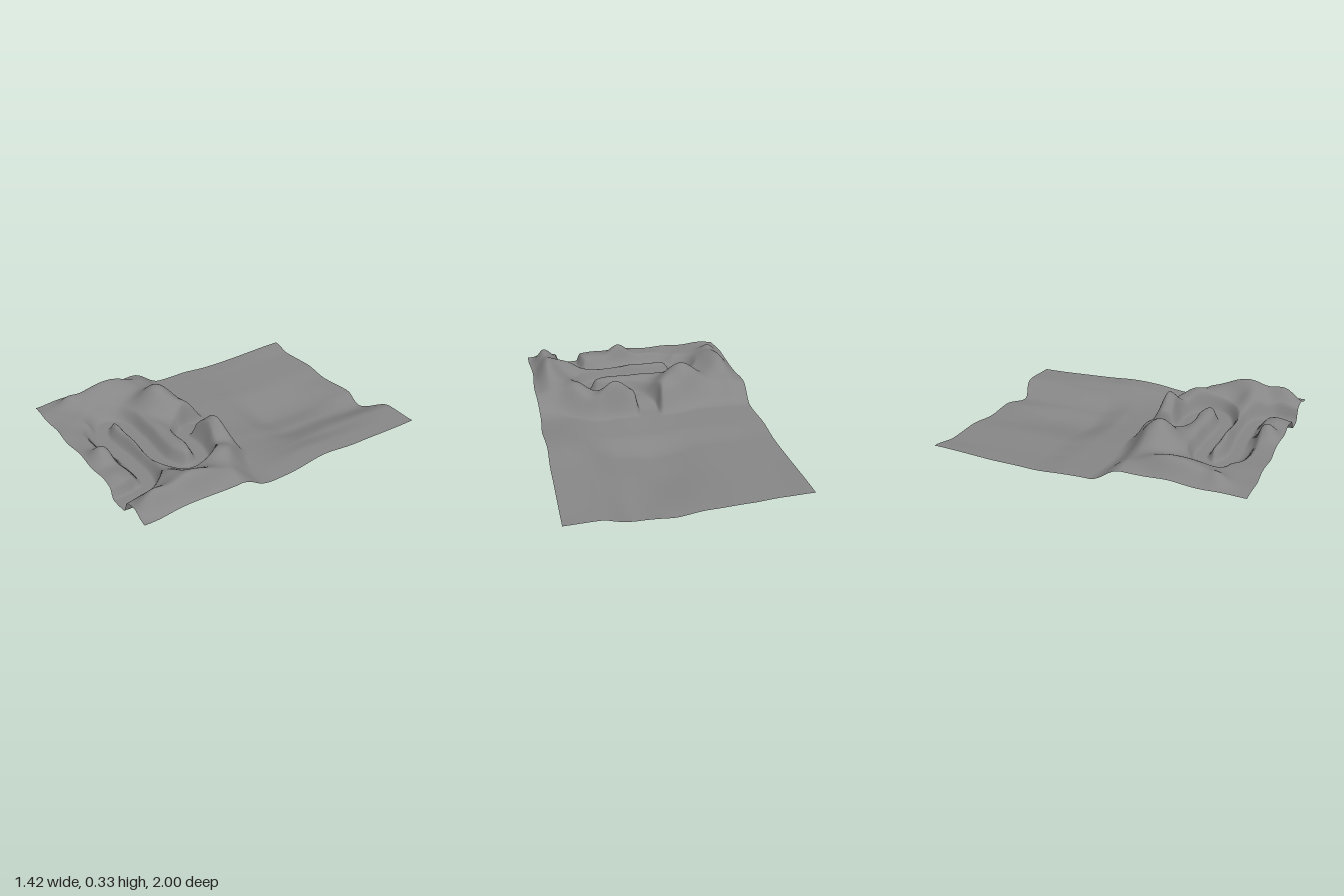
import * as THREE from 'three';

const { smoothstep, lerp } = THREE.MathUtils;

// Smooth interpolation through [position, value] pairs
function profile(points, x) {
  if (x <= points[0][0]) return points[0][1];
  for (let i = 1; i < points.length; i++) {
    const [a, va] = points[i - 1], [b, vb] = points[i];
    if (x <= b) return lerp(va, vb, smoothstep(x, a, b));
  }
  return points[points.length - 1][1];
}

// Valley floor heights across x, halfway and at the rear, and the wavy rear rim
const midValley = [[-0.7, 0.068], [-0.45, 0.058], [-0.3, 0.054], [0.07, 0], [0.25, 0.025],
  [0.48, 0.092], [0.6, 0.105], [0.7, 0.102]];
const rearValley = [[-0.7, 0.08], [-0.53, 0.063], [-0.32, 0.06], [-0.1, 0.042], [0.12, 0.036],
  [0.28, 0.014], [0.5, 0.094], [0.7, 0.088]];
const rearRim = [[-0.7, -0.99], [-0.53, -0.97], [-0.32, -0.98], [-0.1, -0.965],
  [0.1, -0.985], [0.28, -0.94], [0.46, -1], [0.7, -0.995]];

// Winding channel through the hills
const channel = new THREE.CatmullRomCurve3([
  [0.41, 1.1], [0.41, 0.86], [0.35, 0.77], [0.1, 0.75], [-0.22, 0.76], [-0.335, 0.68],
  [-0.27, 0.595], [-0.08, 0.585], [0.24, 0.59], [0.365, 0.51], [0.34, 0.4], [0.22, 0.35],
  [0.05, 0.345], [-0.01, 0.27], [-0.015, 0.05],
].map(([x, z]) => new THREE.Vector3(x, 0, z)), false, 'centripetal').getPoints(160);

function channelDistance(x, z) {
  let best = Infinity;
  for (const p of channel) best = Math.min(best, (p.x - x) ** 2 + (p.z - z) ** 2);
  return Math.sqrt(best);
}

// Hills: x, z, height, width in x, width in z
const hills = [
  [-0.28, 0.33, 0.15, 0.14, 0.12],
  [-0.6, 0.55, 0.1, 0.13, 0.24],
  [-0.62, 0.8, 0.035, 0.07, 0.06],
  [-0.13, 0.24, 0.04, 0.06, 0.08],
  [0.61, 0.62, 0.125, 0.11, 0.22],
  [0.6, 0.88, 0.075, 0.08, 0.1],
  [0.2, 0.2, 0.12, 0.11, 0.1],
  [0.44, 0.34, 0.07, 0.1, 0.12],
  [0.46, 0.69, 0.06, 0.09, 0.08],
  [0.05, 0.9, 0.08, 0.08, 0.07],
  [0.25, 0.9, 0.025, 0.09, 0.07],
  [0.1, 0.47, 0.03, 0.25, 0.05],
  [0.03, 0.67, 0.015, 0.3, 0.05],
];

function height(x, z) {
  // Plain easing down, then dropping into the rear valley
  const sink = 0.4 * (1 - smoothstep(z, -0.2, 0.25)) + 0.6 * (1 - smoothstep(z, -0.32, -0.1));
  const rise = 0.026 * smoothstep(x, 0.4, 0.6) * Math.exp(-(((z + 0.18) / 0.22) ** 2));
  const base = 0.09 + 0.03 * smoothstep(z, 0.14, 0.32);
  const floor = lerp(profile(rearValley, x), profile(midValley, x), smoothstep(z, -0.95, -0.5));
  const plain = lerp(base, floor, sink) + rise;
  if (z < 0.05) return plain;

  // Plateau with hills, fading toward the side rims
  const start = 0.085 + 0.12 * smoothstep(x, 0.3, 0.62) + 0.012 * Math.sin(11 * x);
  const slope = 0.12 + 0.08 * smoothstep(-x, 0.1, 0.4) + 0.05 * smoothstep(x, 0.3, 0.5);
  const plateauMask = smoothstep(z, start, start + slope);
  const rim = 1 - smoothstep(Math.abs(x), 0.59, 0.73);
  let top = 0.18 + 0.004 * Math.sin(23 * x + 6 * z) * Math.sin(17 * z);
  for (const [hx, hz, h, sx, sz] of hills)
    top += rim * h * Math.exp(-(((x - hx) / sx) ** 2) - ((z - hz) / sz) ** 2);

  // Banks beside the flat channel floor: wide mouths, gentle left bend and front block
  const mouth = smoothstep(z, 0.8, 0.86) + 1 - smoothstep(z, 0.22, 0.31);
  const gentle = Math.max(smoothstep(-x, 0.28, 0.45),
    0.4 * smoothstep(z, 0.77, 0.82) * smoothstep(-x, -0.28, -0.1));
  const bank = smoothstep(channelDistance(x, z), 0.036 + 0.024 * mouth,
    0.085 + 0.008 * mouth + 0.065 * gentle);
  return lerp(plain, top, plateauMask * bank);
}

export function createModel() {
  const group = new THREE.Group();
  group.name = 'landscape';

  // One open sheet, with uneven rims
  const nx = 150, nz = 210;
  const geometry = new THREE.PlaneGeometry(2, 2, nx, nz).rotateX(-Math.PI / 2);
  const pos = geometry.attributes.position;
  for (let i = 0; i < pos.count; i++) {
    const u = pos.getX(i), v = (pos.getZ(i) + 1) / 2;
    const front = 0.992 + 0.004 * Math.sin(14 * u);
    const z = lerp(profile(rearRim, u * 0.705), front, v);
    const x = u * (0.704 + 0.006 * Math.sin(13 * z + 2 * u) * smoothstep(z, -0.7, 0));
    pos.setXYZ(i, x, height(x, z), z);
  }
  geometry.computeVertexNormals();

  const terrain = new THREE.Mesh(geometry,
    new THREE.MeshStandardMaterial({ color: 0x868686, side: THREE.DoubleSide }));
  terrain.name = 'terrain';
  group.add(terrain);
  return group;
}
